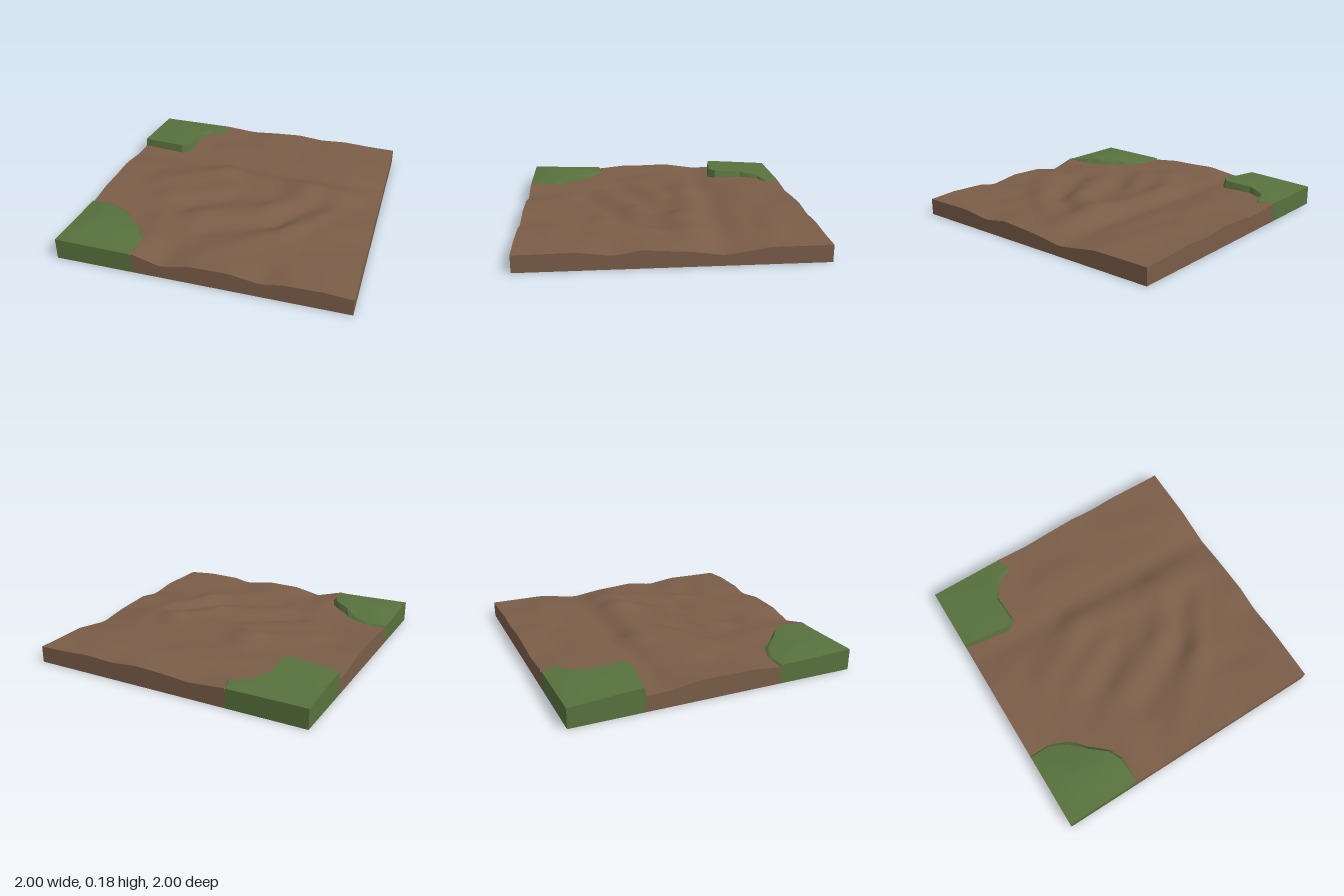
import * as THREE from 'three';

const N = 40; // ground cells per side
const soil = new THREE.MeshStandardMaterial({ color: 0x7a5d48, side: THREE.DoubleSide });
const grass = new THREE.MeshStandardMaterial({ color: 0x58713d, side: THREE.DoubleSide });

// Height along each side of the tile: [position, height]
const EDGES = {
  front: [[-1, .12], [-.45, .145], [-.25, .09], [-.05, .13], [.2, .135], [.42, .1], [.55, .125], [.8, .13], [1, .115]],
  back: [[-1, .12], [-.45, .135], [-.2, .115], [0, .13], [.2, .14], [.4, .122], [.6, .132], [.8, .12], [1, .115]],
  right: [[-1, .115], [-.6, .115], [-.32, .07], [-.1, .1], [.2, .12], [.38, .09], [.6, .118], [1, .115]],
  left: [[-1, .12], [-.5, .11], [-.36, .11], [-.12, .145], [.05, .14], [.25, .14], [.45, .12], [1, .12]],
};

// Ridges (+) and furrows (-): x1, z1, x2, z2, half width, height
const STROKES = [
  [-.6, .02, -.2, -.22, .2, .025], [-.2, -.22, .45, -.14, .18, .025], [.45, -.14, .82, -.14, .2, .032],
  [-.95, -.37, .95, -.34, .15, -.02],
  [-.5, .2, -.1, -.0, .14, .02], [-.35, .32, -.05, .12, .13, -.016],
  [-.2, .4, .25, .2, .14, .022], [.25, .2, .45, -.02, .13, .018],
  [-.1, .58, .35, .34, .13, -.02], [.35, .34, .6, .05, .13, -.018],
  [-.02, .85, .45, .42, .15, .016], [.45, .42, .66, .08, .14, .018],
  [.6, .6, .95, .62, .15, -.012], [.3, -.8, .85, -.66, .18, .014],
  [-.3, -.64, .1, -.64, .16, .012], [-.45, .55, -.4, .8, .15, .012],
];

function profile(points, t) {
  for (let i = 1; i < points.length; i++) {
    const [a, ha] = points[i - 1], [b, hb] = points[i];
    if (t <= b + 1e-6) return THREE.MathUtils.lerp(ha, hb, (t - a) / (b - a));
  }
  return points.at(-1)[1];
}

function groundHeight(x, z) {
  let h = .125;
  for (const [x1, z1, x2, z2, w, k] of STROKES) {
    const dx = x2 - x1, dz = z2 - z1;
    const t = THREE.MathUtils.clamp(((x - x1) * dx + (z - z1) * dz) / (dx * dx + dz * dz), 0, 1);
    const d = Math.hypot(x - x1 - t * dx, z - z1 - t * dz);
    h += k * (1 - THREE.MathUtils.smoothstep(d, 0, w));
  }
  // Blend to the outline of the nearest sides
  const wx = Math.max(0, 1 - (1 - Math.abs(x)) / .3), wz = Math.max(0, 1 - (1 - Math.abs(z)) / .3);
  h = THREE.MathUtils.lerp(h, profile(x > 0 ? EDGES.right : EDGES.left, z), wx);
  return THREE.MathUtils.lerp(h, profile(z > 0 ? EDGES.front : EDGES.back, x), wz);
}

// Grass patches: tile corner, centre, rim pairs (top x, z, foot x, z), top height
const PATCHES = [
  {
    name: 'frontGrass', corner: [-1, 1], centre: [-.8, .78],
    rim: [[-.46, 1, -.45, 1], [-.48, .81, -.45, .81], [-.52, .72, -.49, .72], [-.64, .62, -.62, .6],
      [-.74, .52, -.7, .5], [-.86, .46, -.85, .43], [-1, .46, -1, .44]],
    height: (x, z) => .175 - .16 * Math.max(0, z - .84) - .18 * Math.max(0, .7 - z) - .06 * Math.max(0, x + .6),
  },
  {
    name: 'backGrass', corner: [-1, -1], centre: [-.78, -.76],
    rim: [[-1, -.51, -1, -.5], [-.67, -.465, -.66, -.45], [-.61, -.51, -.59, -.5], [-.62, -.72, -.6, -.715],
      [-.54, -.86, -.525, -.84], [-.42, -.895, -.4, -.88], [-.46, -1, -.45, -1]],
    height: (x, z) => .18 - .07 * Math.max(0, -.55 - z) - .04 * Math.max(0, -.7 - x) - .1 * Math.max(0, x + .6),
  },
];

function underGrass(x, z) {
  return PATCHES.some(({ corner, rim }) => {
    const poly = [corner, ...rim.map(r => r.slice(2))];
    let inside = false;
    poly.forEach(([ax, az], i) => {
      const [bx, bz] = poly[(i + 1) % poly.length];
      if ((az > z) !== (bz > z) && x < ax + (bx - ax) * (z - az) / (bz - az)) inside = !inside;
    });
    return inside;
  });
}

function makeMesh(name, verts, index, material, flat = false) {
  let g = new THREE.BufferGeometry();
  g.setAttribute('position', new THREE.Float32BufferAttribute(verts.flat(), 3));
  g.setIndex(index);
  if (flat) g = g.toNonIndexed();
  g.computeVertexNormals();
  const mesh = new THREE.Mesh(g, material);
  mesh.name = name;
  return mesh;
}

// Band of quads between an upper and a lower line
function band(name, upper, lower, material, keep = () => true) {
  const n = upper.length, index = [];
  for (let i = 0; i < n - 1; i++) {
    if (keep(upper[i], upper[i + 1])) index.push(n + i, n + i + 1, i, i, n + i + 1, i + 1);
  }
  return makeMesh(name, [...upper, ...lower], index, material, true);
}

const floor = line => line.map(([x, , z]) => [x, 0, z]);

function createGround() {
  const group = new THREE.Group();
  group.name = 'ground';
  const at = i => -1 + 2 * i / N;
  const point = (x, z) => [x, groundHeight(x, z), z];
  const verts = [], index = [];
  for (let j = 0; j <= N; j++) for (let i = 0; i <= N; i++) verts.push(point(at(i), at(j)));
  for (let j = 0; j < N; j++) for (let i = 0; i < N; i++) {
    // Leave the soil open below the grass
    const hidden = [0, 1].every(a => [0, 1].every(b =>
      underGrass(at(i + a) * .999, at(j + b) * .999)));
    if (hidden) continue;
    const a = j * (N + 1) + i, b = a + N + 1;
    index.push(a, b, a + 1, a + 1, b, b + 1);
  }
  group.add(makeMesh('soilTop', verts, index, soil));

  // Four side walls, open underneath
  const sides = {
    frontWall: t => [t, 1], rightWall: t => [1, -t], backWall: t => [-t, -1], leftWall: t => [-1, t],
  };
  for (const [name, place] of Object.entries(sides)) {
    const line = Array.from({ length: N + 1 }, (_, i) => point(...place(at(i))));
    group.add(band(name, line, floor(line), soil,
      (a, b) => !underGrass((a[0] + b[0]) * .4995, (a[2] + b[2]) * .4995)));
  }
  return group;
}

function createPatch({ name, corner, centre, rim, height }) {
  const group = new THREE.Group();
  group.name = name;
  const top = (x, z) => [x, height(x, z), z];
  const inner = rim.map(([x, z]) => top(x, z));
  const foot = rim.map(([, , x, z]) => [x, groundHeight(x, z) - .012, z]);

  // Top surface: rings around the centre
  const outline = [corner, ...rim.map(r => r.slice(0, 2))], n = outline.length;
  const verts = [top(...centre)], index = [], rings = 3;
  for (let r = 1; r <= rings; r++) for (const [x, z] of outline) {
    const t = r / rings;
    verts.push(top(centre[0] + (x - centre[0]) * t, centre[1] + (z - centre[1]) * t));
  }
  for (let k = 0; k < n; k++) {
    const m = (k + 1) % n;
    index.push(0, 1 + k, 1 + m);
    for (let r = 1; r < rings; r++) {
      const a = 1 + (r - 1) * n, b = a + n;
      index.push(a + k, b + k, b + m, a + k, b + m, a + m);
    }
  }
  group.add(makeMesh('grassTop', verts, index, grass));
  group.add(band('grassRim', inner, foot, grass));

  // Walls on the two tile sides
  const line = [foot.at(-1), inner.at(-1), top(...corner), inner[0], foot[0]];
  group.add(band('grassWall', line, floor(line), grass));
  return group;
}

export function createModel() {
  const model = new THREE.Group();
  model.name = 'terrainTile';
  model.add(createGround(), ...PATCHES.map(createPatch));
  return model;
}
